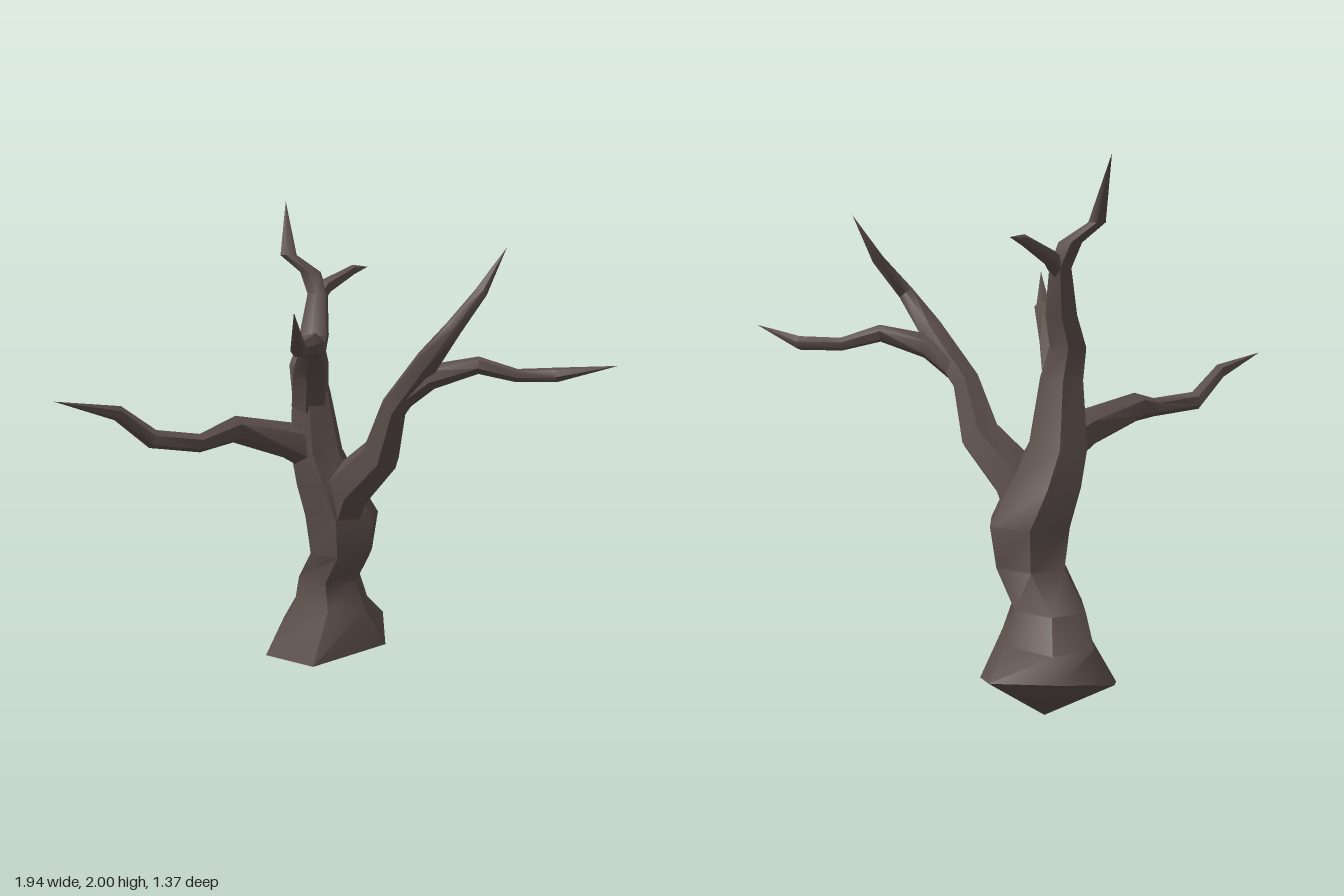
import * as THREE from 'three';
import { toCreasedNormals } from 'three/addons/utils/BufferGeometryUtils.js';

const SIDES = 6;
const V = (x, y, z) => new THREE.Vector3(x, y, z);

// Skin a list of six-point rings; the last one may be a single tip point.
function loft(rings, tip, bottom) {
  const pos = [];
  const tri = (...pts) => pts.forEach((p) => pos.push(p.x, p.y, p.z));
  const all = tip ? [...rings, Array(SIDES).fill(tip)] : rings;
  for (let i = 0; i < all.length - 1; i++) {
    for (let j = 0; j < SIDES; j++) {
      const k = (j + 1) % SIDES;
      const a = all[i][j], b = all[i][k], c = all[i + 1][k], d = all[i + 1][j];
      tri(b, a, d);
      if (c !== d) tri(b, d, c);
    }
  }
  if (bottom) for (let j = 0; j < SIDES; j++) tri(bottom, all[0][j], all[0][(j + 1) % SIDES]);
  const g = new THREE.BufferGeometry();
  g.setAttribute('position', new THREE.Float32BufferAttribute(pos, 3));
  return toCreasedNormals(g, 1.0);
}

// Ring of points around a centre, spanned by two axes.
function ring(c, u, v, ru, rv) {
  return Array.from({ length: SIDES }, (_, j) => {
    const a = (j / SIDES) * Math.PI * 2;
    return c.clone().addScaledVector(u, Math.cos(a) * ru).addScaledVector(v, Math.sin(a) * rv);
  });
}

// Tapering crooked limb through [x, y, z, radius] stations, ending in a point.
function limb(stations) {
  const pts = stations.map((s) => V(s[0], s[1], s[2]));
  const n = pts.length - 1;
  let u = null;
  const rings = [];
  for (let i = 0; i < n; i++) {
    const t = pts[i + 1].clone().sub(pts[i]).normalize();
    if (i > 0) t.add(pts[i].clone().sub(pts[i - 1]).normalize()).normalize();
    if (!u) u = Math.abs(t.y) > 0.8 ? V(1, 0, 0) : V(0, 1, 0);
    u = u.clone().addScaledVector(t, -u.dot(t)).normalize();
    const v = u.clone().cross(t);
    rings.push(ring(pts[i], u, v, stations[i][3], stations[i][3]));
  }
  return loft(rings, pts[n]);
}

export function createModel() {
  const group = new THREE.Group();
  const bark = new THREE.MeshStandardMaterial({ color: 0x5c4f4b });
  bark.name = 'bark';
  const add = (name, geometry) => {
    const m = new THREE.Mesh(geometry, bark);
    m.name = name;
    group.add(m);
  };

  // Flared, tilted foot of the trunk
  const foot = [
    V(0.54, 0.17, -0.5), V(0.45, 0.1, -0.25), V(0.1, 0.05, -0.2),
    V(-0.04, 0.05, -0.42), V(0.12, 0.14, -0.66), V(0.36, 0.19, -0.69),
  ];
  // Trunk stations: x, y, z, half width, half depth
  const trunk = [
    [0.265, 0.27, -0.43, 0.17, 0.19],
    [0.25, 0.39, -0.415, 0.14, 0.145],
    [0.26, 0.52, -0.29, 0.14, 0.135],
    [0.265, 0.68, -0.3, 0.165, 0.15],
    [0.2, 0.82, -0.295, 0.14, 0.145],
    [0.155, 0.96, -0.315, 0.115, 0.115],
    [0.12, 1.2, -0.28, 0.085, 0.085],
    [0.105, 1.32, -0.3, 0.075, 0.07],
    [0.145, 1.44, -0.32, 0.065, 0.06],
    [0.18, 1.61, -0.375, 0.045, 0.04],
    [0.16, 1.7, -0.41, 0.045, 0.045],
    [0.08, 1.77, -0.46, 0.036, 0.03],
  ].map(([x, y, z, rx, rz]) => ring(V(x, y, z), V(1, 0, 0), V(0, 0, 1), rx, rz / 0.866));
  add('trunk', loft([foot, ...trunk], V(0.12, 2, -0.62), V(0.3, 0, -0.47)));

  // Long low branch on the right
  add('rightBranch', limb([
    [0.12, 0.97, -0.31, 0.09], [0.02, 1.01, -0.29, 0.075], [-0.22, 1.07, -0.26, 0.055],
    [-0.4, 1.04, -0.12, 0.037], [-0.58, 1.06, -0.155, 0.038], [-0.72, 1.17, -0.13, 0.03],
    [-0.97, 1.23, -0.07, 0],
  ]));

  // Branch reaching forward
  add('frontBranch', limb([
    [0.11, 1.16, -0.27, 0.08], [0.09, 1.32, -0.2, 0.075], [0.025, 1.425, 0, 0.048],
    [-0.06, 1.43, 0.18, 0.036], [-0.14, 1.43, 0.32, 0.03], [-0.2, 1.57, 0.45, 0],
  ]));

  // Thick left limb and its fork
  add('leftLimb', limb([
    [0.23, 0.66, -0.25, 0.09], [0.25, 0.82, -0.18, 0.105], [0.33, 0.97, -0.03, 0.085],
    [0.35, 1.17, 0.05, 0.058], [0.43, 1.36, 0.19, 0.052], [0.475, 1.5, 0.33, 0.035],
    [0.6, 1.63, 0.3, 0.026], [0.69, 1.8, 0.33, 0],
  ]));
  add('leftFork', limb([
    [0.36, 1.2, 0.07, 0.05], [0.45, 1.3, 0.17, 0.05], [0.61, 1.35, 0.27, 0.034],
    [0.75, 1.31, 0.32, 0.026], [0.89, 1.315, 0.39, 0.028], [0.97, 1.37, 0.68, 0],
  ]));

  // Small twig near the crown
  add('crownTwig', limb([
    [0.17, 1.58, -0.37, 0.035], [0.22, 1.64, -0.39, 0.034], [0.37, 1.71, -0.45, 0.02],
    [0.47, 1.72, -0.54, 0],
  ]));
  return group;
}
